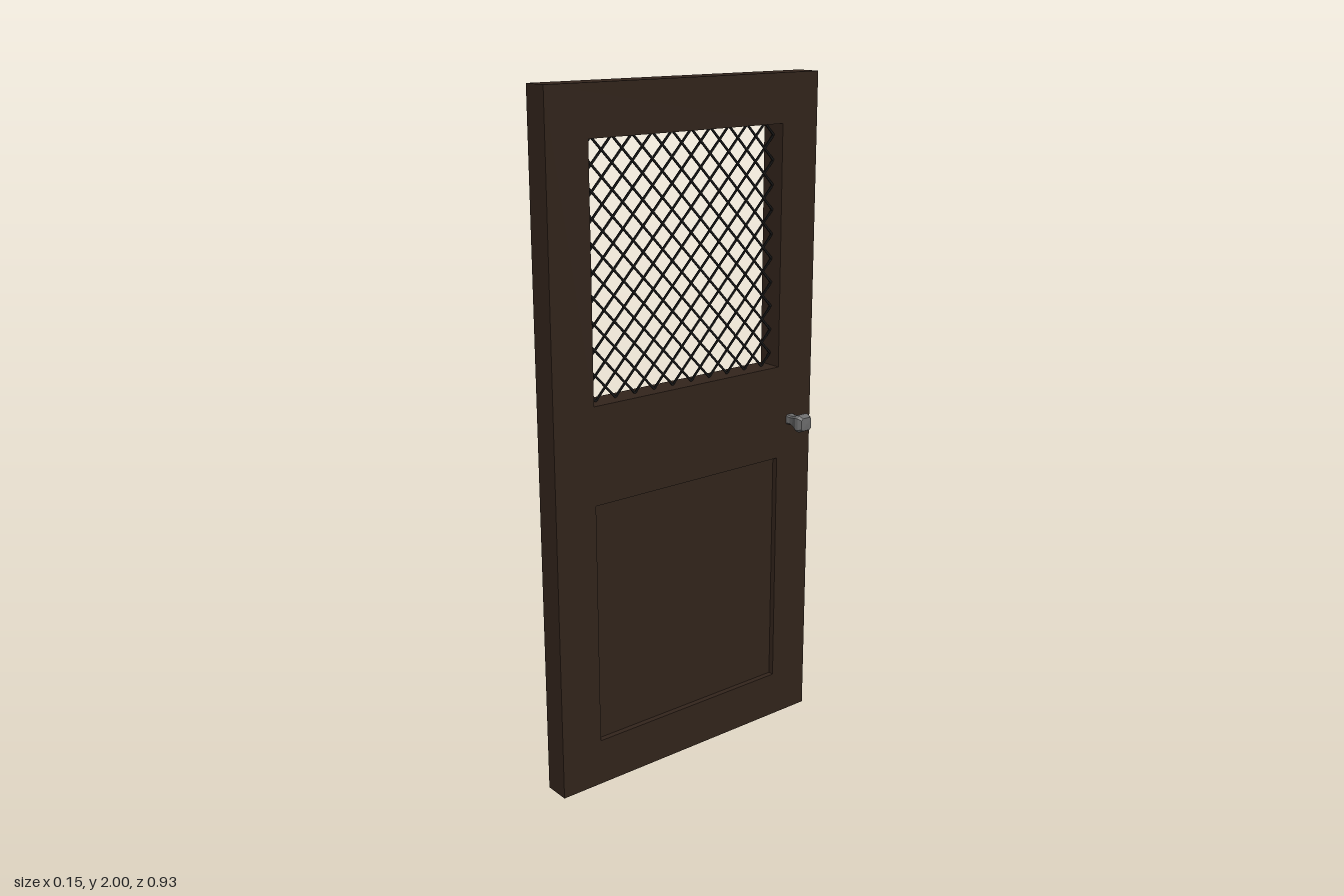
import * as THREE from 'three';
import { mergeGeometries } from 'three/addons/utils/BufferGeometryUtils.js';

const T = 0.078;                     // door thickness
const W = 0.467;                     // half width of the door
const OPEN = 0.335;                  // half width of both openings
const WIN = [1.15, 1.86], PANEL = [0.14, 0.865];

const rect = (Type, w, y0, y1) => {
  const s = new Type();
  s.moveTo(-w, y0); s.lineTo(w, y0); s.lineTo(w, y1); s.lineTo(-w, y1); s.closePath();
  return s;
};

export function createModel() {
  const door = new THREE.Group();
  door.name = 'door';
  const wood = new THREE.MeshStandardMaterial({ color: 0x33251c });
  const wire = new THREE.MeshStandardMaterial({ color: 0x161616 });
  const metal = new THREE.MeshStandardMaterial({ color: 0x6e6e6e, flatShading: true });
  const add = (name, geometry, material) => {
    const mesh = new THREE.Mesh(geometry, material);
    mesh.name = name;
    door.add(mesh);
    return mesh;
  };

  // Frame: one slab with a window opening and a panel opening
  const shape = rect(THREE.Shape, W, 0, 2);
  shape.holes.push(rect(THREE.Path, OPEN, ...WIN), rect(THREE.Path, OPEN, ...PANEL));
  const frame = new THREE.ExtrudeGeometry(shape, { depth: T, bevelEnabled: false });
  frame.rotateY(-Math.PI / 2);
  add('frame', frame, wood);

  // Lower panel, recessed on both faces
  const panel = new THREE.BoxGeometry(T - 0.034, PANEL[1] - PANEL[0], OPEN * 2);
  add('lowerPanel', panel, wood).position.set(-T / 2, (PANEL[0] + PANEL[1]) / 2, 0);

  // Window mesh: two layers of diagonal wires clipped to the opening
  const N = 10, stepZ = 2 * OPEN / N, stepY = (WIN[1] - WIN[0]) / N;
  const wires = [];
  for (const dir of [1, -1]) {
    for (let k = -N + 0.5; k < N; k++) {
      const a = Math.max(0, k), b = Math.min(N, N + k);     // clipped range along z
      const z0 = dir * (a * stepZ - OPEN), z1 = dir * (b * stepZ - OPEN);
      const y0 = WIN[0] + (a - k) * stepY, y1 = WIN[0] + (b - k) * stepY;
      const g = new THREE.BoxGeometry(0.004, 0.006, Math.hypot(z1 - z0, y1 - y0));
      g.rotateX(-Math.atan2(y1 - y0, z1 - z0));
      g.translate(-T / 2 + dir * 0.0015, (y0 + y1) / 2, (z0 + z1) / 2);
      wires.push(g);
    }
  }
  add('windowMesh', mergeGeometries(wires), wire);

  // Knob: flared, with a chamfered square section
  const profile = [[0.016, 0], [0.0145, 0.015], [0.018, 0.03], [0.028, 0.052],
    [0.0275, 0.062], [0.021, 0.074], [0, 0.075]].map(([r, h]) => new THREE.Vector2(r, h));
  const knob = new THREE.LatheGeometry(profile, 8, Math.PI / 8);
  const p = knob.attributes.position;
  for (let i = 0; i < p.count; i++) {
    const x = p.getX(i), z = p.getZ(i);
    if (Math.abs(x) < Math.abs(z)) p.setX(i, x * 1.7);      // widen the flat sides
    else p.setZ(i, z * 1.7);
  }
  knob.rotateZ(-Math.PI / 2);
  knob.computeVertexNormals();
  add('knob', knob, metal).position.set(0, 0.98, -0.385);

  return door;
}
